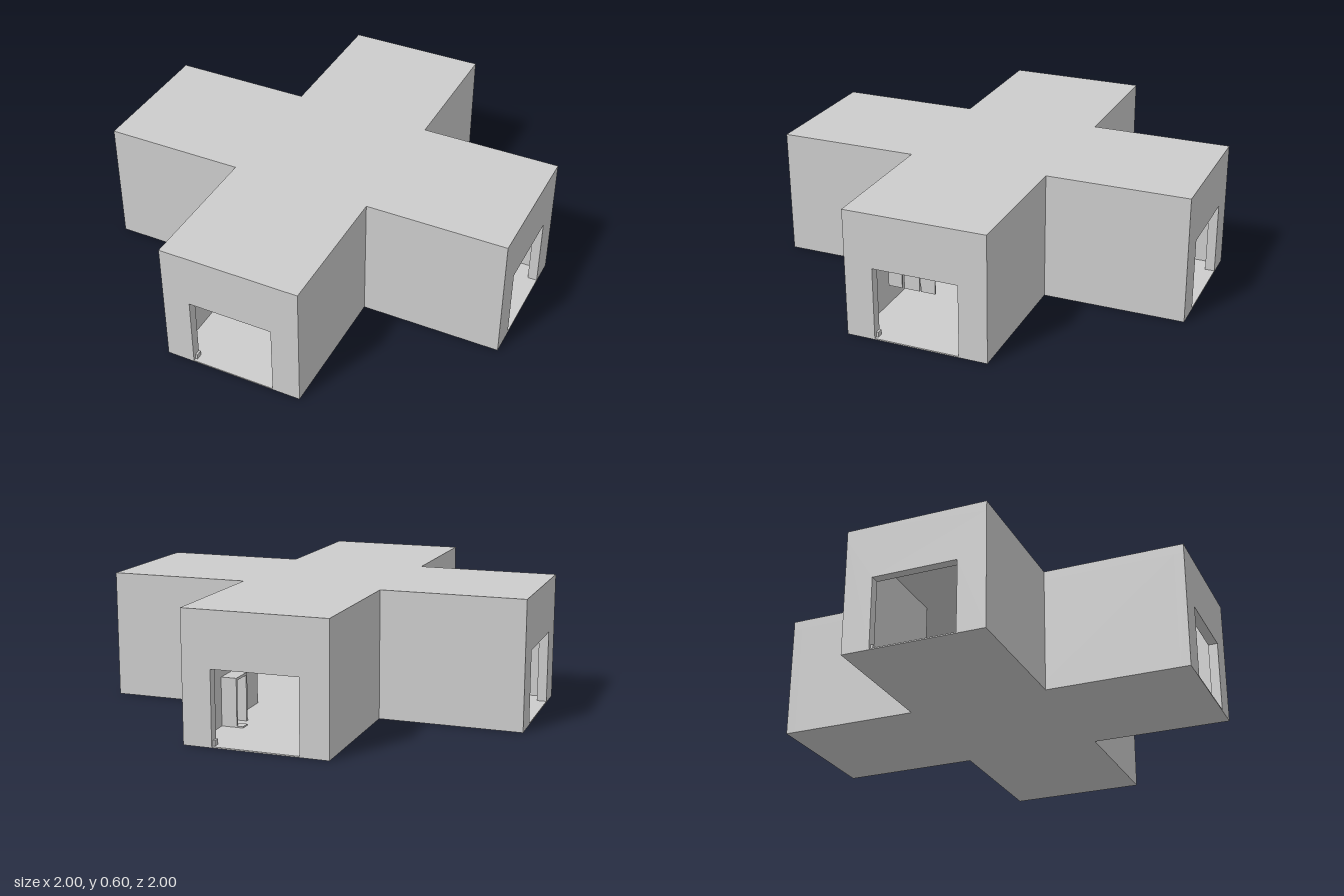
import * as THREE from 'three';

const H = 0.6, A = 0.333, T = 0.045, IN = A - T, FLOOR = 0.006;
const DOOR_W = 0.2, DOOR_H = 0.345;

export function createModel() {
  const model = new THREE.Group();
  model.name = 'crossShapedBuilding';
  const grey = new THREE.MeshStandardMaterial({ color: 0xcccccc });
  grey.name = 'plainGrey';

  function add(name, geometry, parent = model) {
    const mesh = new THREE.Mesh(geometry, grey);
    mesh.name = name;
    parent.add(mesh);
    return mesh;
  }

  // Box given by its limits on each axis
  function box(name, [x0, x1], [y0, y1], [z0, z1], parent = model) {
    const mesh = add(name, new THREE.BoxGeometry(x1 - x0, y1 - y0, z1 - z0), parent);
    mesh.position.set((x0 + x1) / 2, (y0 + y1) / 2, (z0 + z1) / 2);
    return mesh;
  }

  // Cross-shaped slab for floor and roof
  function slab(name, y, thickness) {
    const shape = new THREE.Shape([
      [-A, -1], [A, -1], [A, -A], [1, -A], [1, A], [A, A],
      [A, 1], [-A, 1], [-A, A], [-1, A], [-1, -A], [-A, -A],
    ].map(([x, z]) => new THREE.Vector2(x, z)));
    const geometry = new THREE.ExtrudeGeometry(shape, { depth: thickness, bevelEnabled: false });
    geometry.rotateX(-Math.PI / 2);
    add(name, geometry).position.y = y;
  }
  slab('floor', 0, FLOOR);
  slab('roof', H - T, T);

  // End wall with a doorway cut out of its lower edge
  const endShape = new THREE.Shape([
    [-A, FLOOR], [-DOOR_W, FLOOR], [-DOOR_W, DOOR_H], [DOOR_W, DOOR_H],
    [DOOR_W, FLOOR], [A, FLOOR], [A, H - T], [-A, H - T],
  ].map(([x, y]) => new THREE.Vector2(x, y)));
  const endGeometry = new THREE.ExtrudeGeometry(endShape, { depth: T, bevelEnabled: false });

  // Four identical arms
  for (let i = 0; i < 4; i++) {
    const arm = new THREE.Group();
    arm.name = 'arm' + (i + 1);
    arm.rotation.y = i * Math.PI / 2;
    model.add(arm);
    add('doorwayWall', endGeometry, arm).position.z = 1 - T;
    for (const s of [-1, 1]) {
      const side = box('sideWall', [-T / 2, T / 2], [FLOOR, H - T], [IN, 1 - T], arm);
      side.position.x = s * (A - T / 2);
    }
    box('doorFoot', [-DOOR_W, -DOOR_W + 0.01], [FLOOR, 0.03], [1 - T, 0.985], arm);
  }

  // Low floor shelf in the front arm
  box('lowShelf', [-IN, -0.13], [0.015, 0.025], [0.63, 0.685]);

  // Narrow table in the right-hand arm
  const table = new THREE.Group();
  table.name = 'narrowTable';
  model.add(table);
  box('tableTop', [-0.815, -0.75], [0.12, 0.132], [0.13, IN], table);
  for (const x of [-0.81, -0.762])
    for (const z of [0.132, 0.278])
      box('tableLeg', [x, x + 0.008], [FLOOR, 0.12], [z, z + 0.008], table);
  box('tableRail', [-0.815, -0.75], [0.012, 0.022], [0.15, IN], table);

  // Cabinet and low plate in the left-hand arm
  box('cabinet', [0.75, 0.84], [FLOOR, 0.125], [-IN, -0.195]);
  box('lowPlate', [0.5, 0.62], [0.015, 0.025], [-IN, -0.13]);

  // Seat against the back arm wall
  box('seat', [-IN, -0.18], [FLOOR, 0.125], [-0.66, -0.5]);
  box('seatBack', [-IN, -0.195], [0.125, 0.2], [-0.66, -0.62]);

  // Upright stand in the back arm
  for (const z of [-0.7, -0.59])
    box('standPanel', [0.215, IN], [FLOOR, 0.22], [z, z + 0.012]);
  box('standTop', [0.215, IN], [0.22, 0.232], [-0.7, -0.578]);
  box('standFoot', [0.185, IN], [FLOOR, 0.012], [-0.7, -0.65]);

  // Panels hanging behind one doorway
  for (const [z0, z1] of [[0.085, 0.15], [0.003, 0.075], [-0.07, -0.003]])
    box('hangingPanel', [0.938, 0.946], [0.25, 0.345], [z0, z1]);

  // Ceiling lamps in the central room
  for (const x of [-0.155, 0]) {
    const lamp = add('ceilingLamp', new THREE.CylinderGeometry(0.026, 0.026, H - T - 0.295, 6));
    lamp.position.set(x, (H - T + 0.295) / 2, -0.148);
  }
  return model;
}
